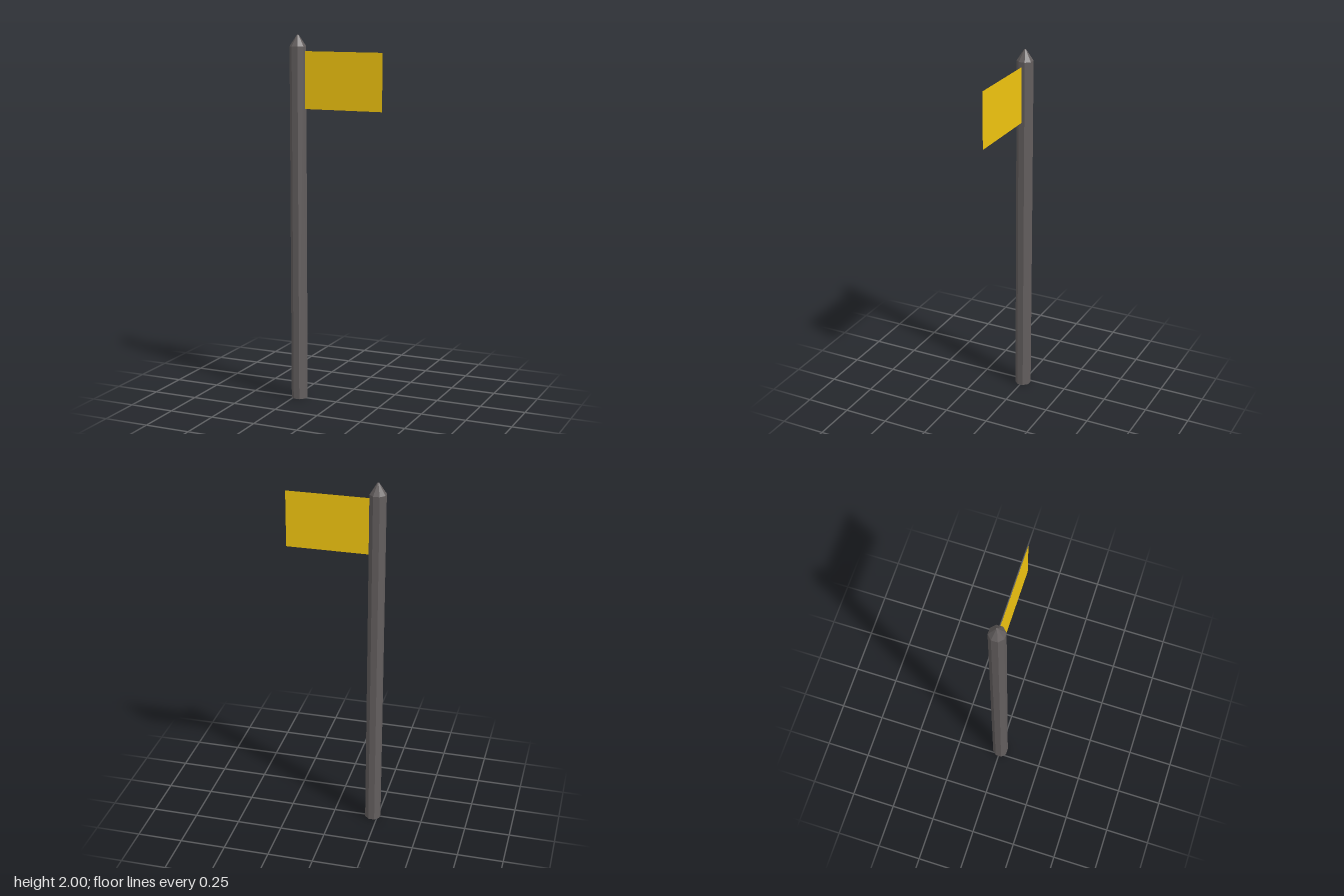
import * as THREE from 'three';

export function createModel() {
  const model = new THREE.Group();
  const poleMat = new THREE.MeshStandardMaterial({ color: 0x635e5e, flatShading: true });
  const flagMat = new THREE.MeshStandardMaterial({ color: 0xf0c410, side: THREE.DoubleSide });

  const poleX = -0.222, apothem = 0.041, sides = 8;
  const radius = apothem / Math.cos(Math.PI / sides);
  const shoulder = 1.94, top = 2;

  // Octagonal section, turned so that flats face the axes
  const addPrism = (name, rTop, y0, y1, open) => {
    const geo = new THREE.CylinderGeometry(rTop, radius, y1 - y0, sides, 1, open);
    geo.rotateY(Math.PI / sides);
    const mesh = new THREE.Mesh(geo, poleMat);
    mesh.name = name;
    mesh.position.set(poleX, (y0 + y1) / 2, 0);
    model.add(mesh);
  };
  addPrism('pole', radius, 0, shoulder, false);
  // Blunt pointed cap
  addPrism('poleTip', 0.005, shoulder, top, false);

  // Thin flat flag, fixed to the pole
  const x0 = poleX + apothem, x1 = 0.262, y0 = 1.608, y1 = 1.915;
  const flag = new THREE.Mesh(new THREE.PlaneGeometry(x1 - x0, y1 - y0), flagMat);
  flag.name = 'flag';
  flag.position.set((x0 + x1) / 2, (y0 + y1) / 2, 0);
  model.add(flag);

  return model;
}
